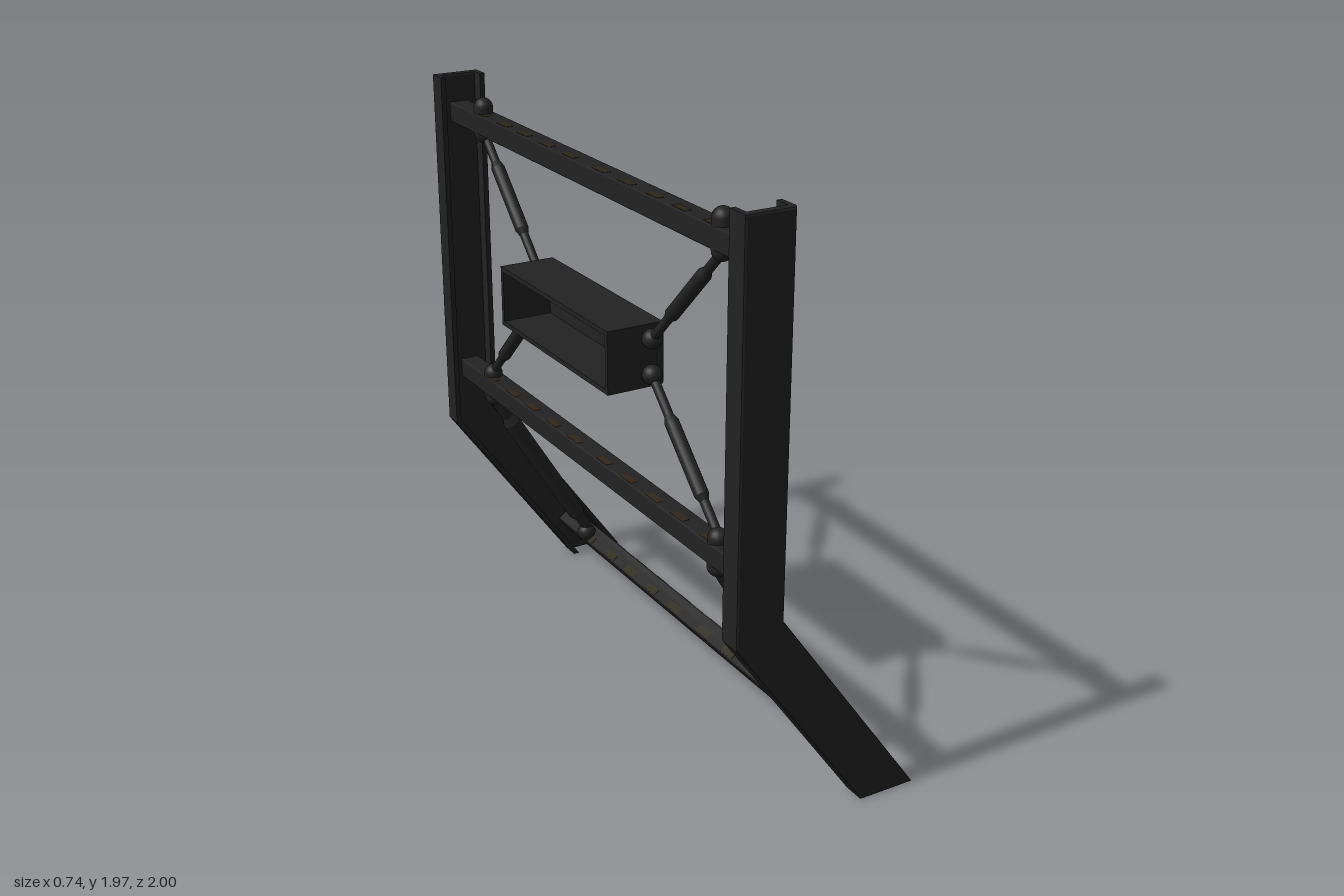
import * as THREE from 'three';
import { RoundedBoxGeometry } from 'three/addons/geometries/RoundedBoxGeometry.js';

const steel = new THREE.MeshStandardMaterial({ color: 0x222222 });
steel.name = 'dark steel';
const brown = new THREE.MeshStandardMaterial({ color: 0x33261a });
brown.name = 'worn brown';
const olive = new THREE.MeshStandardMaterial({ color: 0x2b2717 });
olive.name = 'worn olive';

const V = (x, y, z) => new THREE.Vector3(x, y, z);

function add(parent, geometry, name, x = 0, y = 0, z = 0, material = steel) {
  const mesh = new THREE.Mesh(geometry, material);
  mesh.name = name;
  mesh.position.set(x, y, z);
  parent.add(mesh);
  return mesh;
}

function shapeOf(points) {
  return new THREE.Shape(points.map(([x, y]) => new THREE.Vector2(x, y)));
}

// Bent channel rail: a bevelled outer web with two flanges facing inward
function sideRail(side) {
  const rail = new THREE.Group();
  rail.name = side > 0 ? 'frontRail' : 'backRail';
  const back = [[-0.315, 1.965], [-0.315, 0.675], [0.165, 0]];
  const backInner = [[0.187, 0], [-0.297, 0.681], [-0.297, 1.965]];
  const front = [[0.365, 0], [-0.15, 0.725], [-0.15, 1.965]];
  const frontInner = [[-0.168, 1.965], [-0.168, 0.719], [0.343, 0]];
  const bevel = 0.008;
  const web = new THREE.ExtrudeGeometry(shapeOf([...back, ...front]), {
    depth: 0.03 - 2 * bevel, bevelSize: bevel, bevelOffset: -bevel, bevelThickness: bevel, bevelSegments: 2,
  });
  web.translate(0, 0, -0.015 + bevel);
  add(rail, web, 'railWeb', 0, 0, side * 0.985);
  [[...back, ...backInner], [...front, ...frontInner]].forEach((points, i) => {
    const flange = new THREE.ExtrudeGeometry(shapeOf(points), { depth: 0.06, bevelEnabled: false });
    flange.translate(0, 0, -0.03);
    add(rail, flange, i ? 'frontFlange' : 'backFlange', 0, 0, side * 0.955);
  });
  return rail;
}

// Square cross beam with thin worn patches along its upper edges
function crossBeam(name, x, y, angle, patchMaterial) {
  const beam = new THREE.Group();
  beam.name = name;
  beam.position.set(x, y, 0);
  beam.rotation.z = angle;
  add(beam, new RoundedBoxGeometry(0.07, 0.07, 1.95, 2, 0.006), 'beamBar');
  for (const z of [-0.74, -0.57, -0.42, -0.26, -0.1, 0.1, 0.26, 0.42, 0.57, 0.74]) {
    add(beam, new THREE.BoxGeometry(0.026, 0.002, 0.07), 'topPatch', -0.016, 0.035, z, patchMaterial);
    add(beam, new THREE.BoxGeometry(0.002, 0.018, 0.07), 'sidePatch', 0.035, 0.02, z, patchMaterial);
  }
  return beam;
}

// Piston between two points: slim rod, thick barrel from t0 to t1 and a collar at each barrel end
function piston(name, a, b, rodRadius, barrelRadius, t0, t1) {
  const group = new THREE.Group();
  group.name = name;
  const length = a.distanceTo(b);
  group.position.copy(a);
  group.quaternion.setFromUnitVectors(V(0, 1, 0), b.clone().sub(a).normalize());
  const section = (part, from, to, r0, r1) =>
    add(group, new THREE.CylinderGeometry(r1, r0, (to - from) * length, 16), part, 0, (from + to) / 2 * length, 0);
  const taper = 0.04;
  section('rod', 0, 1, rodRadius, rodRadius);
  section('barrel', t0, t1, barrelRadius, barrelRadius);
  section('startCollar', t0 - taper, t0, rodRadius, barrelRadius);
  section('endCollar', t1, t1 + taper, barrelRadius, rodRadius);
  return group;
}

export function createModel() {
  const model = new THREE.Group();
  model.name = 'bracedFrame';
  const slope = Math.atan2(0.48, 0.675);
  const beamX = -0.23;

  model.add(sideRail(1), sideRail(-1));
  model.add(crossBeam('topBeam', beamX, 1.832, 0, olive));
  model.add(crossBeam('middleBeam', beamX, 0.87, 0, brown));
  model.add(crossBeam('bottomBeam', 0.172, 0.142, slope, olive));

  // Central housing: a shallow tray open toward the back of the frame
  const housing = new THREE.Group();
  housing.name = 'centralHousing';
  housing.position.set(-0.2775, 1.352, 0);
  model.add(housing);
  add(housing, new RoundedBoxGeometry(0.025, 0.205, 0.73, 2, 0.008), 'facePlate', 0.085, 0, 0);
  for (const s of [-1, 1]) {
    add(housing, new THREE.BoxGeometry(0.185, 0.016, 0.726), s > 0 ? 'topWall' : 'bottomWall', -0.005, s * 0.0935, 0);
    add(housing, new THREE.BoxGeometry(0.185, 0.19, 0.016), 'endWall', -0.005, 0, s * 0.355);
  }

  for (const s of [-1, 1]) {
    const z = s * 0.765;
    // Rounded lugs passing through the upper beams
    for (const y of [1.84, 0.868]) {
      add(model, new THREE.CapsuleGeometry(0.033, 0.092, 6, 16), 'beamLug', beamX - 0.002, y, z);
    }
    // Diagonal braces with ball joints at the housing
    for (const [jointY, lugY] of [[1.41, 1.79], [1.295, 0.92]]) {
      add(model, new THREE.SphereGeometry(0.032, 16, 12), 'ballJoint', beamX, jointY, s * 0.378);
      model.add(piston('diagonalBrace', V(beamX, lugY, z), V(beamX, jointY, s * 0.378), 0.015, 0.023, 0.25, 0.7));
    }
    // Lower pistons following the slanted legs
    const start = V(beamX, 0.81, z);
    const end = V(0.142, 0.195, z);
    model.add(piston('lowerPiston', start, end, 0.02, 0.032, 0.17, 0.87));
    const foot = add(model, new THREE.CapsuleGeometry(0.034, 0.03, 6, 16), 'lowerLug', 0.145, 0.165, z);
    foot.rotation.z = slope;
  }
  return model;
}
